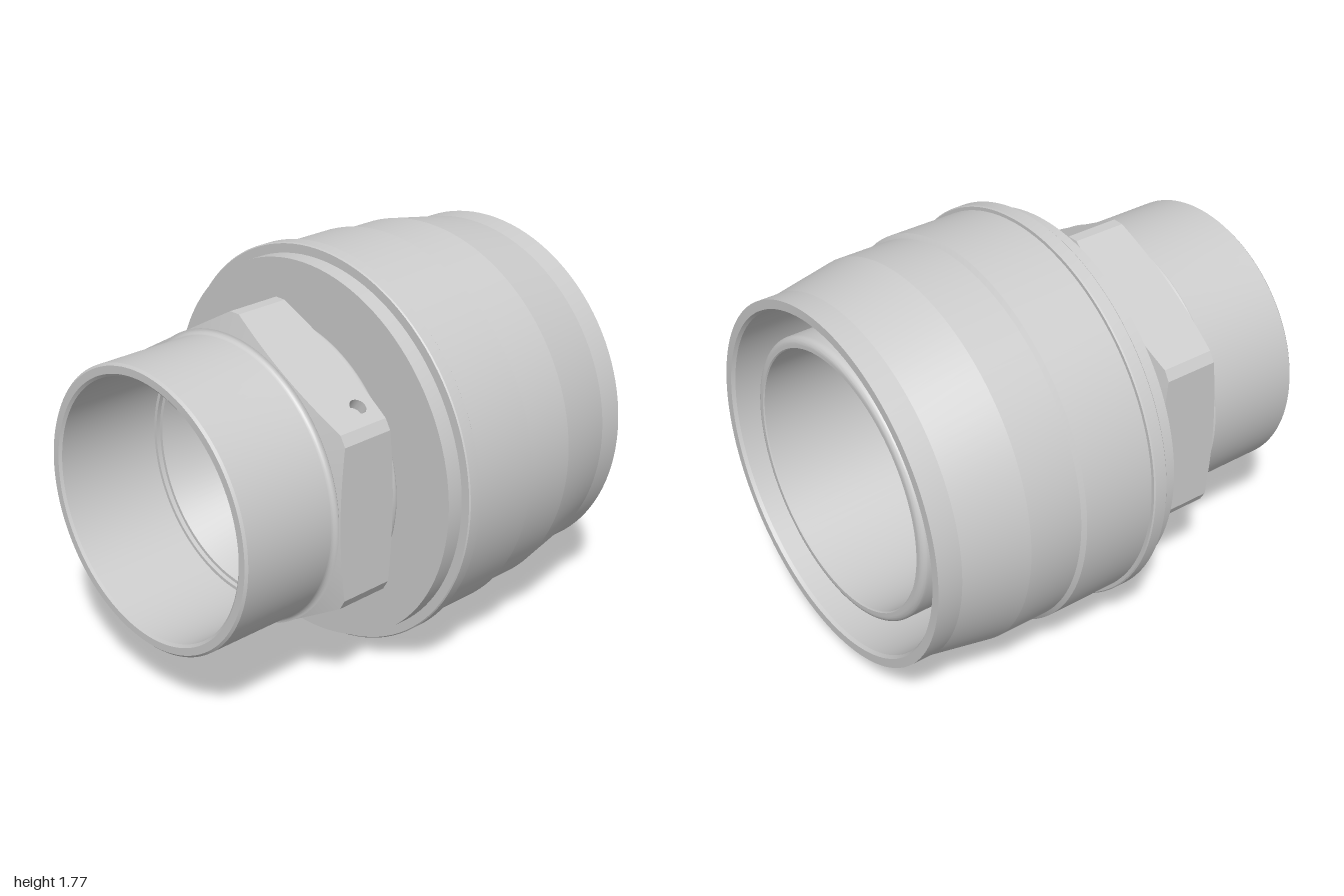
import * as THREE from 'three';
import { toCreasedNormals } from 'three/addons/utils/BufferGeometryUtils.js';

const AXIS_Y = 0.885;
const material = new THREE.MeshStandardMaterial({ color: 0xcccccc });
const thinMaterial = new THREE.MeshStandardMaterial({ color: 0xcccccc, side: THREE.DoubleSide });

function addMesh(parent, name, geometry, mat = material) {
  const mesh = new THREE.Mesh(geometry, mat);
  mesh.name = name;
  parent.add(mesh);
  return mesh;
}

// Revolve a profile of [x, radius] pairs about the x axis
function revolve(profile, segments = 112) {
  const points = profile.map(([x, r]) => new THREE.Vector2(r, x));
  const geometry = new THREE.LatheGeometry(points, segments);
  geometry.rotateZ(-Math.PI / 2);
  return toCreasedNormals(geometry, 0.15);
}

// Rounded corner of a profile, angles in degrees
function arc(cx, cr, radius, from, to, steps = 12) {
  return Array.from({ length: steps + 1 }, (_, i) => {
    const a = THREE.MathUtils.degToRad(from + ((to - from) * i) / steps);
    return [cx + radius * Math.cos(a), cr + radius * Math.sin(a)];
  });
}

// Hexagon nut: six flats with bevelled corners, cut by a shallow cone at both ends
function buildNut() {
  const nut = new THREE.Group();
  nut.name = 'hexNut';
  const apothem = 0.635, half = 0.337, steps = 20, coreRadius = 0.6;
  const leftX = (r) => -0.533 + (r - 0.62) * 0.28;
  const rightX = (r) => -0.235 - (r - 0.62) * 0.25;
  const hole = { x: -0.335, v: -0.245, radius: 0.036, depth: 0.05 };

  const positions = [], index = [], count = 6 * (steps + 1);
  for (let k = 0; k < 6; k++) {
    const angle = ((k + 0.5) * Math.PI) / 3;
    const c = Math.cos(angle), s = Math.sin(angle);
    const left = [], right = [];
    for (let i = 0; i <= steps; i++) {
      const t = -half + (2 * half * i) / steps;
      const r = Math.hypot(apothem, t);
      const y = apothem * c - t * s, z = apothem * s + t * c, f = coreRadius / r;
      positions.push(leftX(coreRadius), y * f, z * f, leftX(r), y, z,
        rightX(r), y, z, rightX(coreRadius), y * f, z * f);
      left.push(new THREE.Vector2(leftX(r), t));
      right.push(new THREE.Vector2(rightX(r), t));
      // Cone strips everywhere, the middle strip only on the corner bevels
      const p = k * (steps + 1) + i, q = (p + 1) % count;
      for (let j = 0; j < 3; j++) {
        if (j === 1 && i < steps) continue;
        const a = p * 4 + j, d = q * 4 + j;
        index.push(a, d, d + 1, a, d + 1, a + 1);
      }
    }

    // Flat face, the first one pierced by the small hole
    const shape = new THREE.Shape([...left, ...right.reverse()]);
    const frame = new THREE.Matrix4().makeBasis(
      new THREE.Vector3(1, 0, 0), new THREE.Vector3(0, s, -c), new THREE.Vector3(0, c, s));
    frame.setPosition(0, apothem * c, apothem * s);
    if (k === 0) {
      shape.holes.push(new THREE.Path().absarc(hole.x, hole.v, hole.radius, 0, Math.PI * 2, true));
      const pocket = new THREE.LatheGeometry([
        new THREE.Vector2(0, -hole.depth),
        new THREE.Vector2(hole.radius, -hole.depth),
        new THREE.Vector2(hole.radius, 0),
      ], 24);
      pocket.rotateX(Math.PI / 2).translate(hole.x, hole.v, 0).applyMatrix4(frame);
      addMesh(nut, 'nutHole', toCreasedNormals(pocket, 0.5), thinMaterial);
    }
    addMesh(nut, 'nutFlat', new THREE.ShapeGeometry(shape, 16).applyMatrix4(frame));
  }
  const rim = new THREE.BufferGeometry();
  rim.setAttribute('position', new THREE.Float32BufferAttribute(positions, 3));
  rim.setIndex(index);
  addMesh(nut, 'nutChamfers', toCreasedNormals(rim, 0.25));
  return nut;
}

export function createModel() {
  const model = new THREE.Group();
  const coupling = new THREE.Group();
  coupling.name = 'coupling';
  coupling.position.y = AXIS_Y;
  model.add(coupling);

  // Inner tube: left socket, collar, neck, right lip and the waisted bore
  addMesh(coupling, 'innerTube', revolve([
    [-1, 0.572], [-1, 0.605], [-0.99, 0.615],
    ...arc(-0.56, 0.637, 0.022, -90, 0),
    [-0.5, 0.6], [-0.245, 0.6],
    ...arc(-0.222, 0.605, 0.016, 180, 90, 8),
    ...arc(-0.21, 0.601, 0.02, 90, 0),
    [-0.19, 0.535], [0, 0.535], [0, 0.62],
    ...arc(0.92, 0.59, 0.03, 90, 0),
    [0.95, 0.575], [0.945, 0.57],
    [0.4, 0.57], [0, 0.38], [-0.48, 0.53],
    [-0.48, 0.545], [-0.5, 0.545], [-0.5, 0.56],
    [-0.99, 0.56], [-1, 0.572],
  ]));

  coupling.add(buildNut());

  // Outer sleeve: back flange, raised ring, grip band, tapered mouth
  addMesh(coupling, 'outerSleeve', revolve([
    [-0.13, 0.5], [-0.13, 0.84], [-0.055, 0.84],
    [-0.055, 0.88], [-0.05, 0.885], [0.005, 0.885], [0.01, 0.88],
    [0.01, 0.865], [0.34, 0.865], [0.355, 0.847],
    [0.6, 0.847], [0.89, 0.795], [1, 0.795],
    [1, 0.755], [0.985, 0.745], [0.6, 0.745], [0.6, 0.6],
  ]));

  return model;
}
